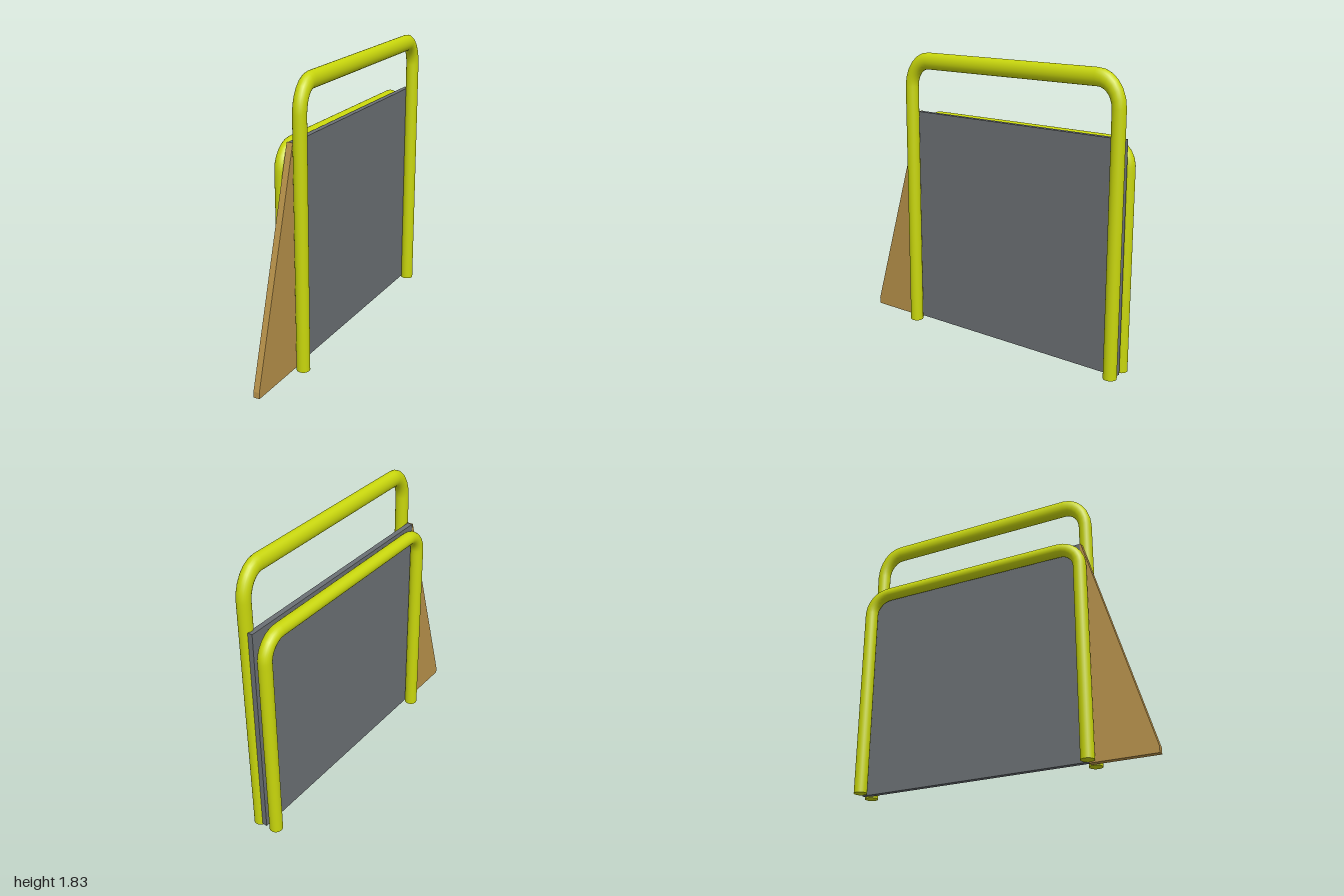
import * as THREE from 'three';

const yellow = new THREE.MeshStandardMaterial({ color: 0xc8d60c });
const grey = new THREE.MeshStandardMaterial({ color: 0x6b7074 });
const tan = new THREE.MeshStandardMaterial({ color: 0xb8924a });

const R = 0.042;          // pipe radius
const FRONT = 0.588, BACK = -0.955;
const BAR_Y = 1.398, BEND = 0.135;
const V = (x, y, z) => new THREE.Vector3(x, y, z);

// Quarter bend from a to b with its corner at c
function bend(a, c, b) {
  const k = 0.552;
  return new THREE.CubicBezierCurve3(a, a.clone().lerp(c, k), b.clone().lerp(c, k), b);
}

// Bent pipe hoop: two posts, two bends and a top bar, stretched upwards by stretchY
function hoop(name, xFront, xBar, xBack, yBottom, stretchY) {
  const group = new THREE.Group();
  group.name = name;
  const f0 = V(xFront, yBottom, FRONT), f1 = V(xFront, BAR_Y - BEND, FRONT);
  const f2 = V(xBar, BAR_Y, FRONT - BEND);
  const b0 = V(xBack, yBottom, BACK), b1 = V(xBack, BAR_Y - BEND, BACK);
  const b2 = V(xBar, BAR_Y, BACK + BEND);
  const path = new THREE.CurvePath();
  path.add(new THREE.LineCurve3(f0, f1));
  path.add(bend(f1, V(xFront, BAR_Y, FRONT), f2));
  path.add(new THREE.LineCurve3(f2, b2));
  path.add(bend(b2, V(xBack, BAR_Y, BACK), b1));
  path.add(new THREE.LineCurve3(b1, b0));

  const pipe = new THREE.TubeGeometry(path, 120, R, 24, false);
  pipe.scale(1, stretchY, 1);
  const tube = new THREE.Mesh(pipe, yellow);
  tube.name = 'bentPipe';
  group.add(tube);

  // Closed feet
  for (const p of [f0, b0]) {
    const cap = new THREE.Mesh(new THREE.CircleGeometry(R, 24), yellow);
    cap.name = 'pipeFoot';
    cap.rotation.x = Math.PI / 2;
    cap.position.set(p.x, p.y * stretchY, p.z);
    group.add(cap);
  }
  return group;
}

export function createModel() {
  const model = new THREE.Group();
  model.name = 'hoopBarrier';

  // Tall hoop on one side, low hoop on the other, each slightly skewed
  model.add(hoop('tallHoop', 0.07, 0.061, 0.049, 0, 1.274));
  model.add(hoop('lowHoop', -0.056, -0.063, -0.073, 0.008, 1));

  // Flat panel between the hoops
  const panel = new THREE.Mesh(new THREE.BoxGeometry(0.034, 1.43, 1.56), grey);
  panel.name = 'panel';
  panel.position.set(0, 0.723, -0.2);
  model.add(panel);

  // Sloping wedge board at the front
  const profile = new THREE.Shape();
  profile.moveTo(0.58, 0);
  profile.lineTo(1, 0);
  profile.lineTo(1, 0.04);
  profile.lineTo(0.585, 1.44);
  profile.lineTo(0.58, 1.44);
  const wedgeGeometry = new THREE.ExtrudeGeometry(profile, { depth: 0.04, bevelEnabled: false });
  wedgeGeometry.translate(0, 0, -0.02);
  wedgeGeometry.rotateY(-Math.PI / 2);
  const wedge = new THREE.Mesh(wedgeGeometry, tan);
  wedge.name = 'frontWedge';
  model.add(wedge);

  return model;
}
